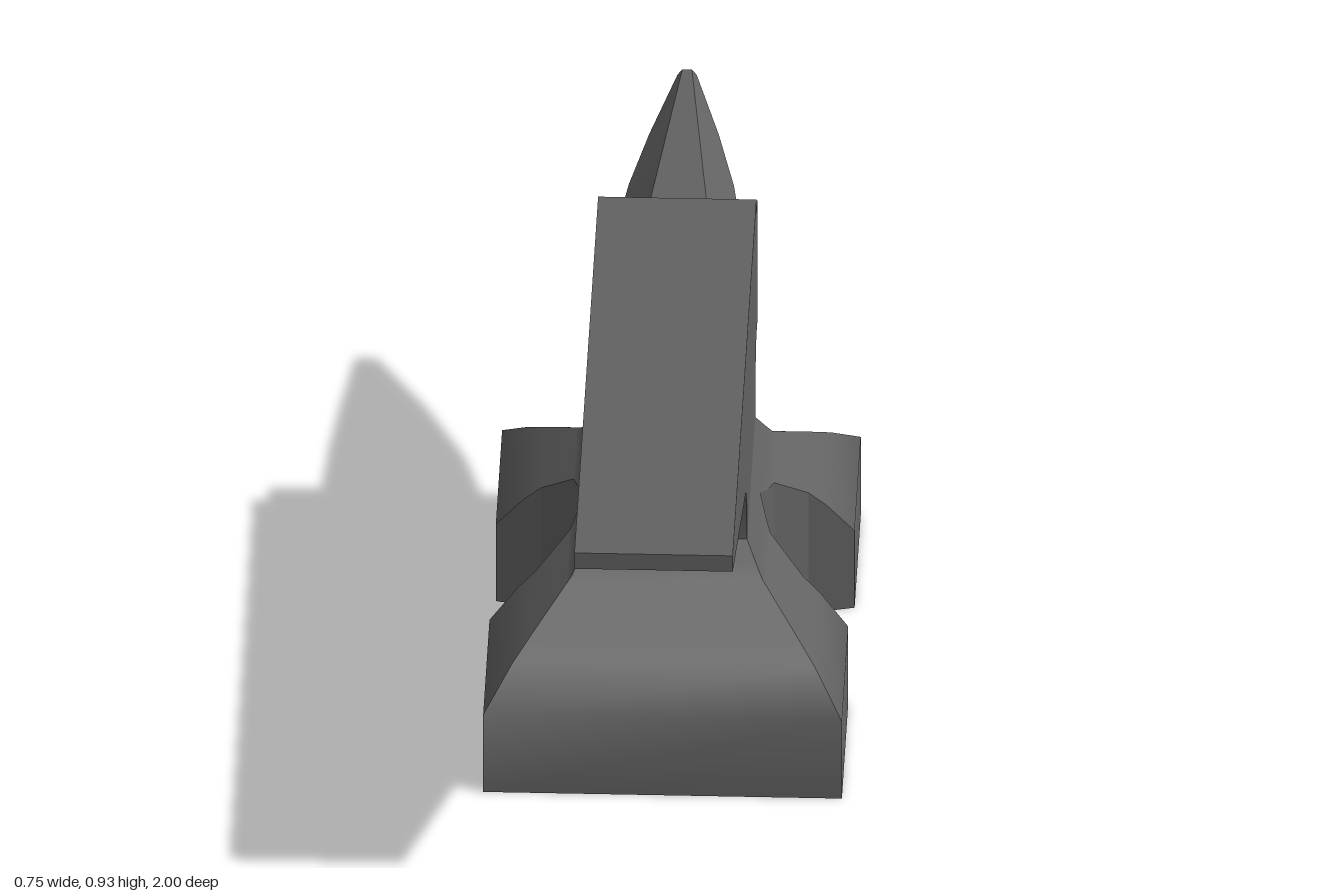
import * as THREE from 'three';
import { toCreasedNormals } from 'three/addons/utils/BufferGeometryUtils.js';

const material = new THREE.MeshStandardMaterial({ color: 0x626262 });

// Skin a grid of points; rows run along the surface, one row per section
function skin(rows, crease) {
  const n = rows[0].length, index = [];
  for (let i = 0; i < rows.length - 1; i++) {
    for (let j = 0; j < n - 1; j++) {
      const a = i * n + j, d = a + n;
      index.push(a, a + 1, d + 1, a, d + 1, d);
    }
  }
  const g = new THREE.BufferGeometry();
  g.setAttribute('position', new THREE.Float32BufferAttribute(rows.flat(2), 3));
  g.setIndex(index);
  g.computeVertexNormals();
  return crease ? toCreasedNormals(g, crease) : g;
}

function add(parent, name, geometry) {
  const mesh = new THREE.Mesh(geometry, material);
  mesh.name = name;
  parent.add(mesh);
}

// Side profile (z, y) of face, heel and waist, extruded across the width
function bodyGeometry() {
  const profile = [
    [0.145, 0.435], [-0.34, 0.435], [-0.34, 0.52], [-0.405, 0.595], [-0.475, 0.592],
    [-0.475, 0.885], [-0.413, 0.885], [-0.413, 0.926], [1, 0.926], [1, 0.887],
    [0.21, 0.594], [0.145, 0.52],
  ];
  const shape = new THREE.Shape(profile.map(([z, y]) => new THREE.Vector2(z, y)));
  const g = new THREE.ExtrudeGeometry(shape, { depth: 0.332, bevelEnabled: false });
  g.translate(0, 0, -0.166).rotateY(-Math.PI / 2);
  return toCreasedNormals(g, 0.75);
}

// Tapered horn: eight-sided sections with a level top
function hornGeometry() {
  const sections = [ // z, half width, bottom y, half width of the flat top
    [-0.47, 0.137, 0.602, 0.06], [-0.66, 0.11, 0.657, 0.042],
    [-0.82, 0.073, 0.732, 0.027], [-1, 0.02, 0.84, 0.01],
  ];
  const top = 0.878;
  const rows = sections.map(([z, w, bottom, flat]) => {
    const h = top - bottom, upper = top - 0.33 * h, lower = top - 0.7 * h;
    return [
      [-flat, top, z], [flat, top, z], [w, upper, z], [w, lower, z], [flat, bottom, z],
      [-flat, bottom, z], [-w, lower, z], [-w, upper, z], [-flat, top, z],
    ];
  });
  rows.push(rows[3].map(() => [0, 0.86, -1])); // closed tip
  return skin(rows, 0.6);
}

// Foot: stepped taper with a scalloped notch cut upright into each side
function makeFoot() {
  const foot = new THREE.Group();
  foot.name = 'foot';
  const levels = [ // y, half width, front z, back z
    [0, 0.376, 0.467, -0.662], [0.19, 0.376, 0.467, -0.662], [0.262, 0.317, 0.372, -0.562],
    [0.297, 0.28, 0.317, -0.507], [0.361, 0.21, 0.214, -0.404], [0.37, 0.2, 0.2, -0.39],
    [0.398, 0.185, 0.176, -0.368], [0.435, 0.166, 0.145, -0.34],
  ];
  const notch = [[0.185, 0], [0.21, 0.1], [0.28, 0.165], [0.376, 0.19]]; // x, z offset
  const offsetAt = (x) => {
    if (x <= notch[0][0]) return 0;
    const k = Math.max(1, notch.findIndex((p) => x <= p[0] + 1e-6));
    const [[x0, z0], [x1, z1]] = [notch[k - 1], notch[k]];
    return z0 + ((z1 - z0) * (x - x0)) / (x1 - x0);
  };
  const cut = [3, 2, 1, 0, -1, -2, -3];

  const left = levels.map(([y, w, front, back]) => [
    [w, y, front],
    ...cut.map((k) => {
      const x = Math.min(w, notch[Math.abs(k)][0]);
      return [x, y, -0.1 + Math.sign(k) * offsetAt(x)];
    }),
    [w, y, back],
  ]);
  const right = left.map((row) => row.map(([x, y, z]) => [-x, y, z]).reverse());

  // Smooth flanks on both sides of each faceted notch
  for (const [side, rows] of [['Left', left], ['Right', right]]) {
    const columns = (from, to) => rows.map((row) => row.slice(from, to));
    const ends = side === 'Left' ? ['Front', 'Back'] : ['Back', 'Front'];
    add(foot, `foot${side}${ends[0]}Flank`, skin(columns(0, 2)));
    add(foot, `foot${side}Notch`, skin(columns(1, 8), 0.2));
    add(foot, `foot${side}${ends[1]}Flank`, skin(columns(7, 9)));
  }
  add(foot, 'footFront', skin(levels.map(([y, w, f]) => [[-w, y, f], [w, y, f]])));
  add(foot, 'footBack', skin(levels.map(([y, w, , b]) => [[w, y, b], [-w, y, b]])));

  // Underside follows the notched outline
  const outline = [...left[0], ...right[0]].map(([x, , z]) => new THREE.Vector2(x, z));
  add(foot, 'footUnderside', new THREE.ShapeGeometry(new THREE.Shape(outline)).rotateX(Math.PI / 2));
  return foot;
}

export function createModel() {
  const model = new THREE.Group();
  model.name = 'anvil';
  add(model, 'body', bodyGeometry());
  add(model, 'horn', hornGeometry());
  model.add(makeFoot());
  return model;
}
